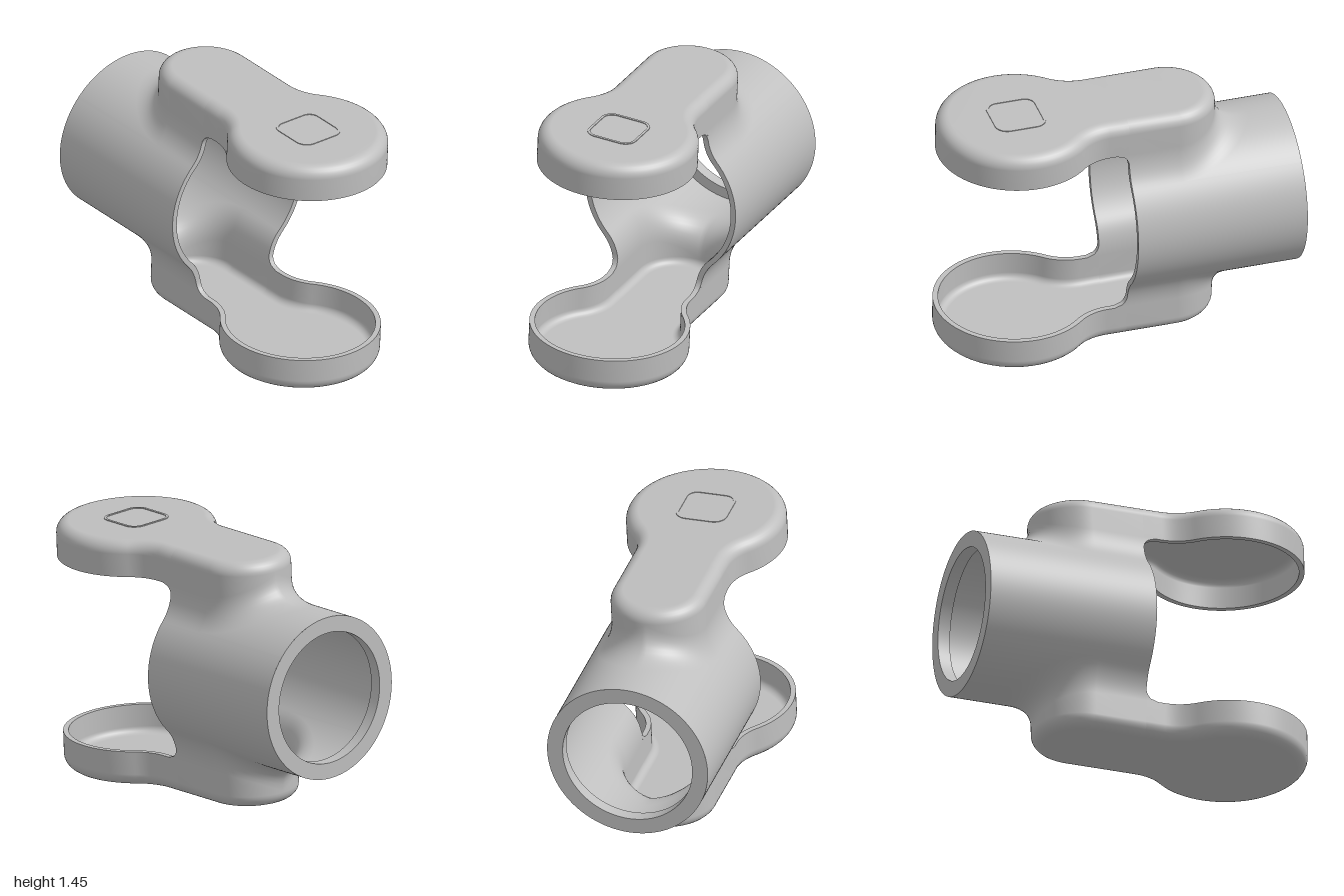
import * as THREE from 'three';
import { mergeGeometries, mergeVertices } from 'three/addons/utils/BufferGeometryUtils.js';

const FRONT = -0.02, BACK = -1, RIM = 0.508;      // tube mouth, tube end, cap rim height
const CX = 0.555, CR = 0.445, HALF = 0.27;        // paddle centre and radius, neck half width
const ARM_X = HALF - 0.585;                       // centre of the rounded arm end

const outer = { inset: 0, r: 0.465, top: 0.71, fillet: 0.07, back: BACK };
const inner = { inset: 0.03, r: 0.435, top: 0.675, fillet: 0.04, back: -0.93 };

// Surface through a list of columns of [x, y, z] points
function grid(cols, flip = false) {
  const rows = cols[0].length, index = [];
  const tri = (a, b, c) => index.push(a, flip ? c : b, flip ? b : c);
  for (let j = 0; j < cols.length - 1; j++) {
    for (let i = 0; i < rows - 1; i++) {
      const a = j * rows + i, b = a + rows;
      tri(a, b, a + 1);
      tri(b, b + 1, a + 1);
    }
  }
  const g = new THREE.BufferGeometry();
  g.setAttribute('position', new THREE.Float32BufferAttribute(cols.flat(2), 3));
  g.setIndex(index);
  return g;
}

// Adds the half-turn copy about the tube axis and smooths the result
function bothHalves(parts) {
  const all = parts.flatMap(g => [g, g.clone().rotateX(Math.PI)]);
  const g = mergeVertices(mergeGeometries(all), 1e-5);
  g.computeVertexNormals();
  return g;
}

// Flare from the arm wall (t = 0) down onto the tube (t = 1)
function flare(o, s, t) {
  const px = o.x - o.nx * s.inset, pz = o.z - o.nz * s.inset;
  const f = 0.07 + 0.14 * o.e;
  const qx = px + o.nx * f, qz = pz + o.nz * f;
  const yt = Math.sqrt(Math.max(0.01, s.r * s.r - qz * qz));
  const yc = yt + (qz / yt) * (qz - pz);
  const ys = RIM + 0.12 * o.e;
  const u = 1 - t;
  return [
    px + (qx - px) * t * t,
    u * u * ys + 2 * u * t * yc + t * t * yt,
    pz + (qz - pz) * t * t,
  ];
}

// Keyhole outline: paddle, concave neck, rounded corner to the mouth, arm end
function makeOutline() {
  const half = [];
  const neckX = 0.09, d = CX - neckX;
  const rf = (d * d / (CR - HALF) - CR - HALF) / 2;
  const a1 = Math.acos(-d / (CR + rf));
  const add = (x, z, a, t, e = 0) =>
    half.push({ x, z, nx: Math.cos(a), nz: Math.sin(a), t, e });
  for (let i = 0; i <= 44; i++) {
    const a = a1 * i / 44;
    add(CX + CR * Math.cos(a), CR * Math.sin(a), a, 0);
  }
  for (let i = 1; i <= 12; i++) {
    const a = a1 + (Math.PI / 2 - a1) * i / 12;
    add(neckX - rf * Math.cos(a), HALF + rf - rf * Math.sin(a), a, 0);
  }
  const side = { x: 0, z: HALF, nx: 0, nz: 1, e: 0 };
  for (let i = 0; i <= 16; i++) {
    const y = flare(side, outer, i / 16)[1];
    const k = Math.max(0, y - (RIM - 0.07));
    const x = 0.05 - Math.sqrt(Math.max(0, 0.0049 - k * k));
    add(x, HALF, Math.PI / 2, i / 16);
  }
  const mouth = half.length - 1;
  for (let i = 0; i <= 28; i++) {
    const a = Math.PI / 2 * (1 + i / 28);
    add(ARM_X + HALF * Math.cos(a), HALF * Math.sin(a), a, 1, 1 - Math.sin(a));
  }
  const mirror = half.slice(0, -1).reverse().map(o => ({ ...o, z: -o.z, nz: -o.nz }));
  return { points: half.concat(mirror), mouth };
}

// One column of the cap: flat top, rounded edge, wall, flare
function capColumn(o, s) {
  const at = (k, y) => [o.x - o.nx * k, y, o.z - o.nz * k];
  const first = at(s.inset + s.fillet, s.top);
  const col = [[first[0], s.top, 0]];
  for (let i = 0; i <= 7; i++) {
    const a = Math.PI / 2 * i / 7;
    col.push(at(s.inset + s.fillet * (1 - Math.sin(a)), s.top - s.fillet * (1 - Math.cos(a))));
  }
  for (let i = 0; i <= 9; i++) col.push(flare(o, s, o.t * i / 9));
  return col;
}

// Cap and tube skin for one half; also returns the free edges
function skin(outline, s, flip) {
  const { points, mouth } = outline;
  const cap = points.map(o => capColumn(o, s));
  const ends = cap.map(c => c[c.length - 1]);
  const under = ends.slice(mouth, points.length - mouth);
  const start = Math.asin(under[0][2] / s.r);
  const side = [];
  for (let i = 0; i <= 28; i++) {
    const a = -start - (Math.PI - 2 * start) * i / 28;
    side.push([FRONT, s.r * Math.cos(a), s.r * Math.sin(a)]);
  }
  const toBack = p => [p, [s.back, p[1], p[2]]];
  return {
    geometry: bothHalves([grid(cap, flip), grid(under.map(toBack), flip), grid(side.map(toBack), flip)]),
    edges: [ends.slice(0, mouth + 1), ends.slice(points.length - mouth - 1), side],
  };
}

function roundedSquare(target, h, r) {
  target.moveTo(h, -h + r);
  [0, 1, 2, 3].forEach(k => {
    const a = k * Math.PI / 2, m = h - r;
    const cx = k === 0 || k === 3 ? m : -m, cy = k < 2 ? m : -m;
    target.absarc(cx, cy, r, a, a + Math.PI / 2, false);
  });
  target.closePath();
  return target;
}

export function createModel() {
  const grey = new THREE.MeshStandardMaterial({ color: 0xbebebe });
  grey.name = 'plain grey';
  const model = new THREE.Group();
  model.name = 'pipeClamp';
  const body = new THREE.Group();
  body.name = 'tiltedBody';
  body.rotation.x = -0.045;
  body.position.y = 0.727;
  model.add(body);

  const add = (name, geometry) => {
    const mesh = new THREE.Mesh(geometry, grey);
    mesh.name = name;
    body.add(mesh);
    return mesh;
  };

  // Outer and inner skins of the tube with its two paddle arms
  const outline = makeOutline();
  const out = skin(outline, outer, false);
  const inn = skin(outline, inner, true);
  add('outerShell', out.geometry);
  add('innerShell', inn.geometry);

  // Thin rim joining the two skins
  const rims = out.edges.map((edge, k) =>
    grid(edge.map((p, i) => [p, inn.edges[k][i]]), k === 2));
  add('openRim', bothHalves(rims));

  // Thick lip at the closed-in end of the tube
  const bore = 0.375;
  add('endRing', new THREE.RingGeometry(bore, outer.r, 112).rotateY(-Math.PI / 2)).position.x = BACK;
  add('innerStep', new THREE.RingGeometry(bore, inner.r, 112).rotateY(Math.PI / 2)).position.x = inner.back;
  const boreCols = [];
  for (let i = 0; i <= 56; i++) {
    const a = -Math.PI * i / 56, y = bore * Math.cos(a), z = bore * Math.sin(a);
    boreCols.push([[inner.back, y, z], [BACK, y, z]]);
  }
  add('bore', bothHalves([grid(boreCols, true)]));

  // Rounded square outline on the upper paddle
  const frame = roundedSquare(new THREE.Shape(), 0.146, 0.07);
  frame.holes.push(roundedSquare(new THREE.Path(), 0.132, 0.056));
  const frameGeometry = new THREE.ExtrudeGeometry(frame, { depth: 0.005, bevelEnabled: false, curveSegments: 10 });
  add('squareFrame', frameGeometry.rotateX(-Math.PI / 2)).position.set(CX, outer.top - 0.001, 0);

  return model;
}
